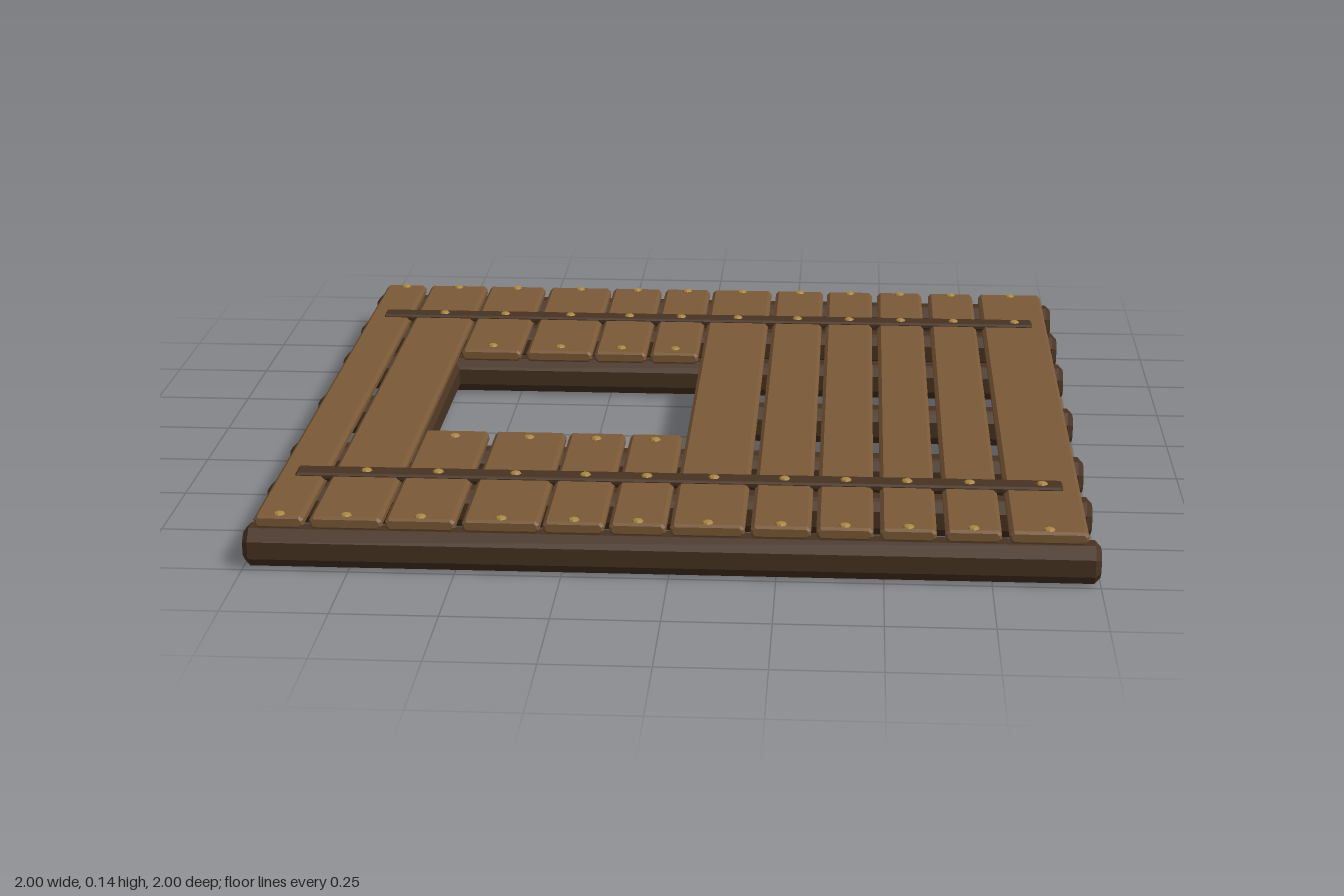
import * as THREE from 'three';

const plankWood = new THREE.MeshStandardMaterial({ name: 'plankWood', color: 0x7b5937, flatShading: true });
const beamWood = new THREE.MeshStandardMaterial({ name: 'beamWood', color: 0x483221, flatShading: true });
const brass = new THREE.MeshStandardMaterial({ name: 'brass', color: 0xa8863f, flatShading: true });

// Bar along x with cut corners (size c) and chamfered ends (size b), centred on the origin
function barGeometry(length, height, width, c, b) {
  const h = height / 2, w = width / 2;
  const shape = new THREE.Shape([
    [w, -h + c], [w, h - c], [w - c, h], [-w + c, h],
    [-w, h - c], [-w, -h + c], [-w + c, -h], [w - c, -h],
  ].map(([x, y]) => new THREE.Vector2(x, y)));
  const geometry = new THREE.ExtrudeGeometry(shape, {
    depth: length - 2 * b, bevelEnabled: true, bevelSegments: 1,
    bevelThickness: b, bevelSize: b, bevelOffset: -b,
  });
  geometry.translate(0, 0, b - length / 2);
  geometry.rotateY(Math.PI / 2);
  return geometry;
}

export function createModel() {
  const model = new THREE.Group();
  model.name = 'woodenDeck';

  const add = (name, geometry, material, x, y, z) => {
    const mesh = new THREE.Mesh(geometry, material);
    mesh.name = name;
    mesh.position.set(x, y, z);
    model.add(mesh);
    return mesh;
  };

  const hole = { x0: -0.67, x1: 0, z: 0.338 };

  // Logs running left to right; the middle one stops at the opening
  const beam = (x0, x1, z) =>
    add('crossBeam', barGeometry(x1 - x0, 0.094, 0.09, 0.026, 0.014), beamWood, (x0 + x1) / 2, 0.047, z);
  for (const z of [0.953, 0.668, 0.381]) {
    beam(-1, 1, z);
    beam(-1, 1, -z);
  }
  beam(-1, hole.x0 - 0.02, 0);
  beam(hole.x1 + 0.02, 1, 0);

  // Logs framing the sides of the opening
  for (const x of [hole.x0 - 0.042, hole.x1 + 0.046]) {
    add('openingBeam', barGeometry(0.8, 0.088, 0.085, 0.022, 0.012), beamWood, x, 0.048, 0)
      .rotation.y = Math.PI / 2;
  }

  // Planks: left and right edges
  const planks = [
    [-0.973, -0.856], [-0.842, -0.672], [-0.664, -0.499], [-0.483, -0.302],
    [-0.294, -0.151], [-0.139, -0.007], [0.003, 0.176], [0.19, 0.33],
    [0.342, 0.474], [0.49, 0.62], [0.64, 0.77], [0.788, 0.97],
  ];
  const plank = (x0, x1, z0, z1) =>
    add('plank', barGeometry(z1 - z0, 0.031, x1 - x0, 0.009, 0.006), plankWood, (x0 + x1) / 2, 0.1095, (z0 + z1) / 2)
      .rotation.y = Math.PI / 2;

  // Domed nail heads
  const nailGeometry = new THREE.SphereGeometry(0.014, 8, 3, 0, Math.PI * 2, 0, Math.PI / 2);
  nailGeometry.scale(1, 0.45, 1);
  const nail = (x, y, z) => add('nail', nailGeometry, brass, x, y, z);

  planks.forEach(([x0, x1], i) => {
    const x = (x0 + x1) / 2;
    const short = x0 > hole.x0 && x1 < hole.x1;
    if (!short) plank(x0, x1, -0.973, 0.973);
    for (const side of [-1, 1]) {
      if (short) {
        plank(x0, x1, side > 0 ? hole.z : -0.973, side > 0 ? 0.973 : -hole.z);
        nail(x, 0.125, side * 0.382);
      }
      nail(x, 0.125, side * 0.955);
      if (i > 0) nail(x, 0.132, side * 0.667);
    }
  });

  // Battens laid across the planks
  for (const z of [-0.667, 0.667]) {
    add('batten', barGeometry(1.856, 0.018, 0.058, 0.005, 0.004), beamWood, 0, 0.123, z);
  }

  return model;
}
